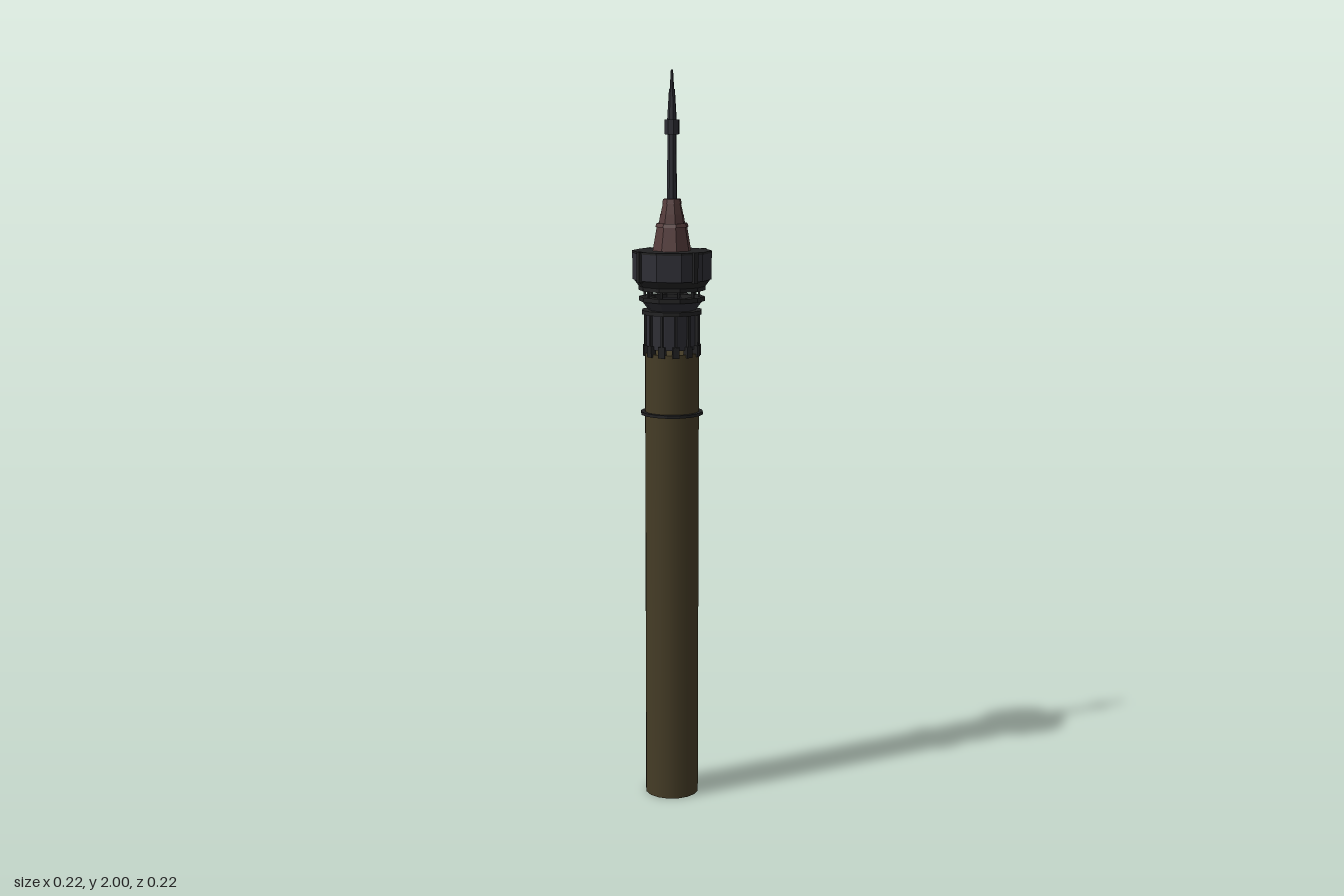
import * as THREE from 'three';

const mat = (name, color) => {
  const m = new THREE.MeshStandardMaterial({ color });
  m.name = name;
  return m;
};

export function createModel() {
  const stone = mat('olive stone', 0x453c26);
  const steel = mat('dark steel', 0x2e2e35);
  const trim = mat('black trim', 0x212122);
  const brick = mat('brown cladding', 0x553c3b);
  const root = new THREE.Group();
  root.name = 'tower';
  const START = -Math.PI / 18; // the deck is turned ten degrees

  const add = (name, geo, material, parent = root) => {
    const m = new THREE.Mesh(geo, material);
    m.name = name;
    parent.add(m);
    return m;
  };

  // Tapered drum between two heights, with flat sides when faceted
  const drum = (name, y0, y1, r0, r1, sides, material, faceted = true) => {
    let geo = new THREE.CylinderGeometry(r1, r0, y1 - y0, sides, 1, false, START);
    if (faceted) {
      geo = geo.toNonIndexed();
      geo.computeVertexNormals();
    }
    return add(name, geo, material).translateY((y0 + y1) / 2);
  };

  // Ring of boxes facing outward
  const ringOf = (name, count, r, y, size, material, turn = 0) => {
    const g = new THREE.Group();
    g.name = name + 's';
    for (let i = 0; i < count; i++) {
      const a = turn + (i / count) * Math.PI * 2;
      const b = add(name, new THREE.BoxGeometry(...size), material, g);
      b.position.set(Math.sin(a) * r, y, Math.cos(a) * r);
      b.rotation.y = a;
    }
    root.add(g);
  };

  // Flat open band
  const band = (name, y0, y1, inner, outer, sides) => {
    const pts = [[inner, y0], [outer, y0], [outer, y1], [inner, y1], [inner, y0]]
      .map(p => new THREE.Vector2(...p));
    const geo = new THREE.LatheGeometry(pts, sides, START).toNonIndexed();
    geo.computeVertexNormals();
    add(name, geo, trim);
  };

  // Shaft and its band
  drum('shaft', 0, 1.25, 0.074, 0.074, 16, stone, false);
  band('shaftBand', 1.081, 1.089, 0.07, 0.085, 16);

  // Collar standing on teeth, with ribs and a top flange
  drum('collar', 1.262, 1.358, 0.07, 0.07, 12, steel);
  ringOf('collarTooth', 12, 0.07, 1.257, [0.018, 0.03, 0.016], trim, Math.PI / 12);
  ringOf('collarRib', 12, 0.07, 1.31, [0.007, 0.09, 0.012], trim, Math.PI / 12);
  band('collarFlange', 1.355, 1.366, 0.05, 0.083, 12);

  // Flared bowl below the open gallery
  drum('bowl', 1.358, 1.392, 0.058, 0.084, 10, steel);
  band('bowlRim', 1.39, 1.402, 0.06, 0.089, 10);
  ringOf('galleryPost', 10, 0.073, 1.411, [0.006, 0.024, 0.006], trim, START);

  // Observation deck with a tapered underside and corner posts
  band('galleryLintel', 1.419, 1.431, 0.05, 0.09, 10);
  drum('deckUnderside', 1.427, 1.45, 0.088, 0.105, 10, trim);
  drum('deck', 1.448, 1.519, 0.107, 0.107, 10, steel);
  drum('deckRoof', 1.519, 1.525, 0.108, 0.108, 10, trim);
  ringOf('deckPost', 4, 0.105, 1.485, [0.012, 0.082, 0.012], trim, 0.21);

  // Stepped spire base
  drum('spireBase', 1.525, 1.588, 0.053, 0.042, 8, brick);
  drum('spireStep', 1.588, 1.598, 0.046, 0.042, 8, brick);
  drum('spireMiddle', 1.598, 1.622, 0.036, 0.032, 8, brick);
  drum('spireTop', 1.622, 1.65, 0.031, 0.025, 8, brick);
  drum('spireCap', 1.65, 1.662, 0.027, 0.024, 8, brick);

  // Antenna mast
  drum('mastLower', 1.66, 1.832, 0.014, 0.012, 8, steel);
  drum('mastCollar', 1.832, 1.87, 0.02, 0.02, 8, steel);
  drum('mastUpper', 1.87, 1.95, 0.013, 0.008, 8, steel);
  drum('mastTip', 1.95, 2, 0.006, 0.003, 8, steel);

  return root;
}
